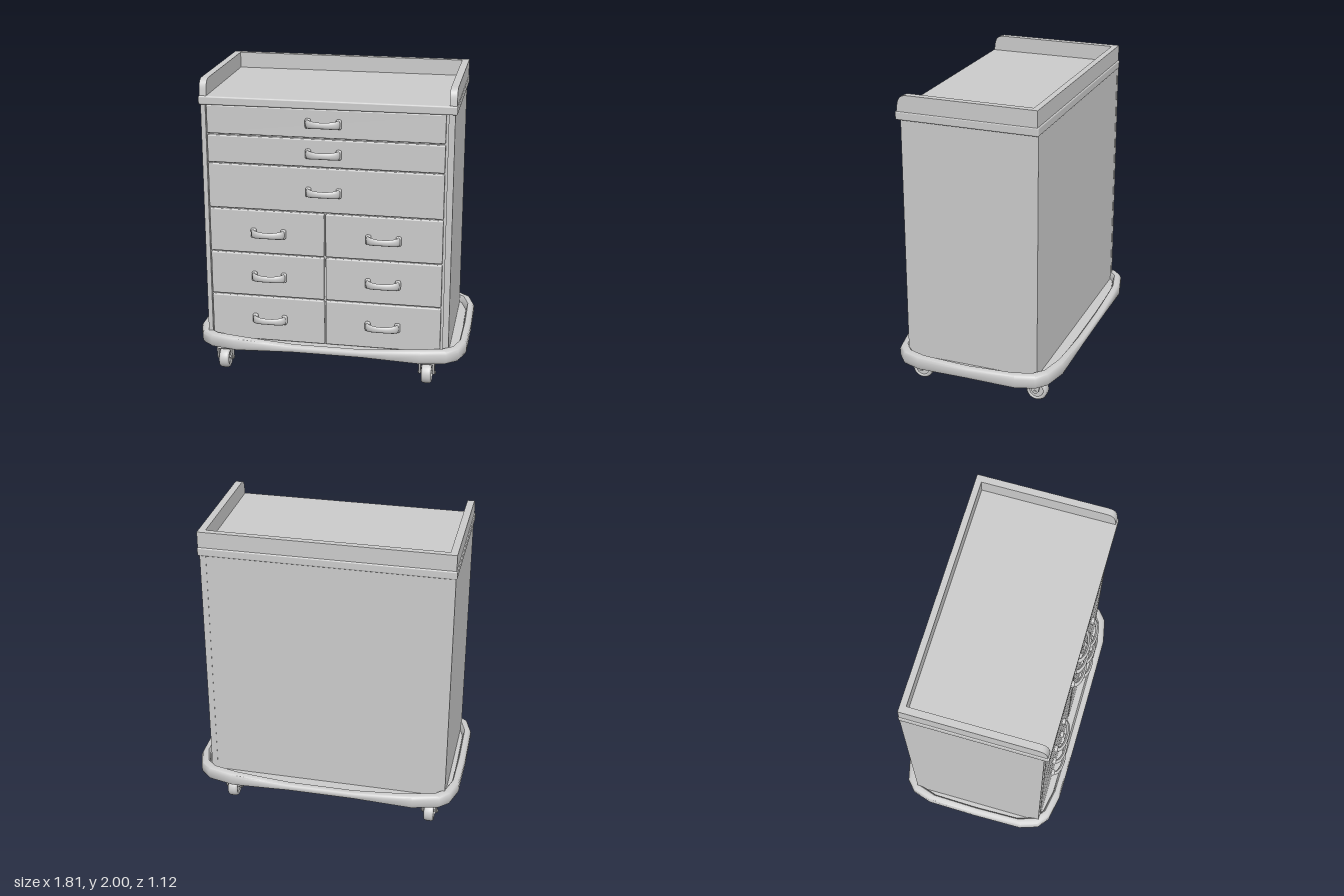
import * as THREE from 'three';
import { RoundedBoxGeometry } from 'three/addons/geometries/RoundedBoxGeometry.js';
import { toCreasedNormals } from 'three/addons/utils/BufferGeometryUtils.js';

const material = new THREE.MeshStandardMaterial({ color: 0xcccccc });

function add(parent, name, geometry, x = 0, y = 0, z = 0) {
  const mesh = new THREE.Mesh(geometry, material);
  mesh.name = name;
  mesh.position.set(x, y, z);
  parent.add(mesh);
  return mesh;
}

// Box given by its extents; r > 0 rounds the edges
function block(parent, name, [x0, x1], [y0, y1], [z0, z1], r = 0) {
  const s = [x1 - x0, y1 - y0, z1 - z0];
  const g = r ? new RoundedBoxGeometry(...s, 2, r) : new THREE.BoxGeometry(...s);
  return add(parent, name, g, (x0 + x1) / 2, (y0 + y1) / 2, (z0 + z1) / 2);
}

// Extrude a (z, y) profile along x, centred on x = 0
function sideExtrude(shape, width) {
  const g = new THREE.ExtrudeGeometry(shape, { depth: width, bevelEnabled: false, curveSegments: 8 });
  g.translate(0, 0, -width / 2);
  g.rotateY(-Math.PI / 2);
  return toCreasedNormals(g, 0.6);
}

// Bumper base: rounded rim that thins toward the middle of each edge
function baseGeometry() {
  const half = [[0.23, 0.555], [0.42, 0.555], [0.62, 0.553], [0.785, 0.52], [0.86, 0.46], [0.9, 0.34],
    [0.905, 0], [0.9, -0.33], [0.86, -0.46], [0.795, -0.52], [0.62, -0.563], [0.42, -0.565], [0.23, -0.565]];
  const outline = [...half, ...half.slice().reverse().map(([x, z]) => [-x, z])];
  const dip = (x, z) => Math.abs(z) > 0.5
    ? 1 - THREE.MathUtils.smoothstep(Math.abs(x), 0.2, 0.66)
    : 0.35 * Math.max(0, 1 - Math.abs(z) / 0.34);
  // inset from the outline, and height as a fraction of the rim (or fixed y)
  const sections = [
    { inset: 0.559, y: 0.2 }, { inset: 0.07, y: 0.2 }, { inset: 0.022, t: 0 }, { inset: 0.007, t: 0.08 },
    { inset: 0, t: 0.27 }, { inset: 0, t: 0.73 }, { inset: 0.007, t: 0.92 }, { inset: 0.02, t: 1 },
    { inset: 0.042, t: 1 }, { inset: 0.05, t: 0.85 }, { inset: 0.055, y: 0.235 }, { inset: 0.3, y: 0.235 },
  ];
  const positions = [], index = [], n = outline.length;
  sections.forEach(({ inset, y, t }, j) => outline.forEach(([x, z], i) => {
    const d = dip(x, z), low = 0.185 + 0.02 * d, high = 0.28 - 0.03 * d;
    const sx = inset > 0.2 ? 1 - inset / 0.56 : 1 - inset / 0.9;
    positions.push(x * sx, y ?? low + t * (high - low), z * (1 - inset / 0.56));
    if (j < sections.length - 1) {
      const a = j * n + i, b = j * n + (i + 1) % n;
      index.push(a, b, b + n, a, b + n, a + n);
    }
  }));
  const g = new THREE.BufferGeometry();
  g.setAttribute('position', new THREE.Float32BufferAttribute(positions, 3));
  g.setIndex(index);
  return toCreasedNormals(g, 0.7);
}

// Arched grip, slimmer in the middle, with a foot at each end
function addHandle(parent, x, y) {
  const handle = new THREE.Group();
  handle.name = 'handle';
  handle.position.set(x, y, 0.455);
  parent.add(handle);
  const path = new THREE.CatmullRomCurve3([[-0.1, 0], [-0.095, 0.03], [-0.055, 0.052], [0, 0.058],
    [0.055, 0.052], [0.095, 0.03], [0.1, 0]].map(([px, pz]) => new THREE.Vector3(px, 0, pz)));
  const grip = new THREE.TubeGeometry(path, 28, 0.012, 10);
  const p = grip.attributes.position;
  for (let i = 0; i < p.count; i++) {
    const k = Math.min(1, Math.abs(p.getX(i)) / 0.1);
    p.setY(i, p.getY(i) * (1.7 + 0.7 * k * k));
  }
  grip.computeVertexNormals();
  add(handle, 'grip', grip);
  for (const s of [-1, 1]) {
    add(handle, 'handleFoot', new RoundedBoxGeometry(0.036, 0.064, 0.03, 2, 0.012), s * 0.098, 0, 0.008);
  }
}

function addCaster(parent, x, z) {
  const caster = new THREE.Group();
  caster.name = 'caster';
  caster.position.set(x, 0, z);
  parent.add(caster);
  // Swivel plate and neck
  add(caster, 'swivelPlate', new THREE.CylinderGeometry(0.047, 0.047, 0.014, 24), 0, 0.182, 0);
  add(caster, 'swivelNeck', new THREE.CylinderGeometry(0.034, 0.042, 0.025, 24), 0, 0.165, 0);
  // Tyre with rounded shoulders
  const tyre = new THREE.LatheGeometry([[0.045, -0.024], [0.05, -0.034], [0.062, -0.032], [0.07, -0.02], [0.07, 0.02],
    [0.062, 0.032], [0.05, 0.034], [0.045, 0.024]].map(([r, h]) => new THREE.Vector2(r, h)), 32);
  tyre.rotateZ(Math.PI / 2);
  add(caster, 'tyre', tyre, 0, 0.072, 0);
  const hub = new THREE.CylinderGeometry(0.047, 0.047, 0.052, 24).rotateZ(Math.PI / 2);
  add(caster, 'wheelHub', hub, 0, 0.072, 0);
  const axle = new THREE.CylinderGeometry(0.01, 0.01, 0.118, 12).rotateZ(Math.PI / 2);
  add(caster, 'axle', axle, 0, 0.076, 0);
  // Fork
  const cheek = new THREE.Shape();
  cheek.moveTo(-0.04, 0.158);
  cheek.lineTo(-0.022, 0.075);
  cheek.quadraticCurveTo(0, 0.045, 0.022, 0.075);
  cheek.lineTo(0.04, 0.158);
  for (const s of [-1, 1]) add(caster, 'forkCheek', sideExtrude(cheek, 0.012), s * 0.046, 0, 0);
  block(caster, 'forkBridge', [-0.052, 0.052], [0.145, 0.16], [-0.039, 0.039], 0.006);
}

export function createModel() {
  const cart = new THREE.Group();
  cart.name = 'drawerCart';

  // Cabinet
  block(cart, 'cabinetBody', [-0.81, 0.78], [0.22, 1.85], [-0.44, 0.435]);
  block(cart, 'rightSidePanel', [-0.82, -0.79], [0.22, 1.85], [-0.442, 0.452]);
  block(cart, 'leftSidePanel', [0.75, 0.79], [0.22, 1.85], [-0.442, 0.452]);

  // Drawers: three full-width rows, then three split rows
  const rows = [[1.65, 1.835, 1.745], [1.46, 1.64, 1.548], [1.157, 1.452, 1.295],
    [0.857, 1.148, 0.998], [0.557, 0.848, 0.697], [0.24, 0.548, 0.397]];
  rows.forEach(([y0, y1, handleY], i) => {
    const columns = i < 3 ? [[-0.784, 0.735, -0.03]] : [[-0.784, -0.03, -0.394], [-0.02, 0.735, 0.357]];
    for (const [x0, x1, handleX] of columns) {
      block(cart, 'drawerFront', [x0, x1], [y0, y1], [0.42, 0.456], 0.008);
      addHandle(cart, handleX, handleY);
    }
  });

  // Worktop with a raised edge on the sides and back
  block(cart, 'worktop', [-0.827, 0.805], [1.84, 1.896], [-0.447, 0.483], 0.01);
  const rail = new THREE.Shape();
  rail.moveTo(-0.44, 1.88);
  rail.lineTo(0.475, 1.88);
  rail.lineTo(0.468, 1.935);
  rail.bezierCurveTo(0.462, 1.98, 0.445, 2, 0.4, 2);
  rail.lineTo(-0.44, 2);
  for (const x of [-0.798, 0.778]) add(cart, 'sideRail', sideExtrude(rail, 0.046), x, 0, 0);
  block(cart, 'backRail', [-0.8, 0.78], [1.88, 2], [-0.44, -0.4]);

  // Base and casters
  add(cart, 'bumperBase', baseGeometry());
  for (const x of [-0.718, 0.65]) for (const z of [0.413, -0.397]) addCaster(cart, x, z);

  return cart;
}
